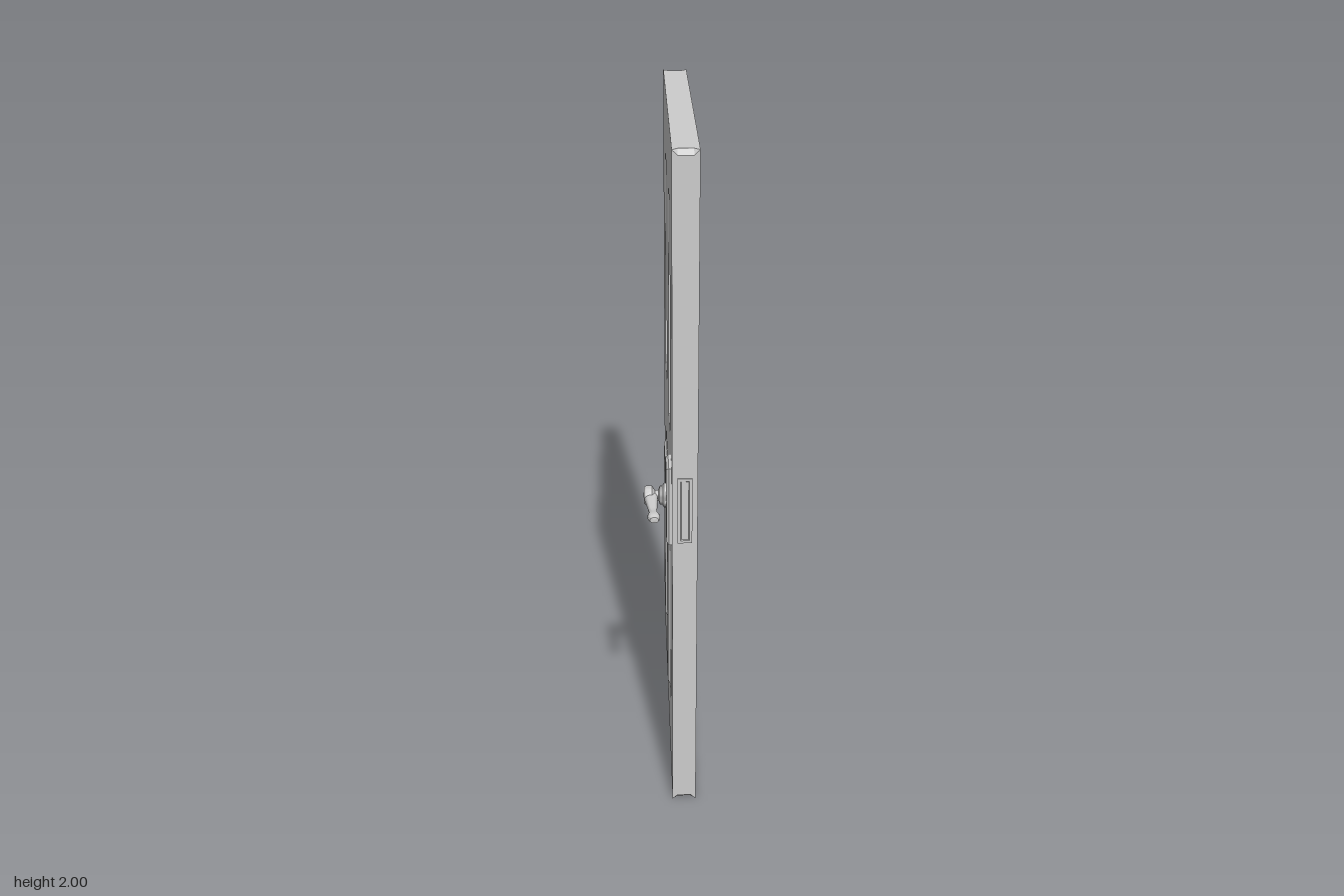
import * as THREE from 'three';
import { toCreasedNormals } from 'three/addons/utils/BufferGeometryUtils.js';

const HEIGHT = 2, HALF_LENGTH = 0.4825, HALF_THICK = 0.035;

const grey = new THREE.MeshStandardMaterial({ color: 0xcccccc, side: THREE.DoubleSide });
grey.name = 'plain grey';

function addMesh(parent, name, geometry) {
  const mesh = new THREE.Mesh(geometry, grey);
  mesh.name = name;
  parent.add(mesh);
  return mesh;
}

// Joins equal-sized closed rings with flat quads; optionally caps the last ring.
function loft(rings, cap = false) {
  const pos = [];
  const tri = (...pts) => pts.forEach((p) => pos.push(...p));
  for (let r = 0; r + 1 < rings.length; r++) {
    const a = rings[r], b = rings[r + 1];
    a.forEach((_, i) => {
      const j = (i + 1) % a.length;
      tri(a[i], a[j], b[j]);
      tri(a[i], b[j], b[i]);
    });
  }
  if (cap) {
    const e = rings[rings.length - 1];
    for (let i = 1; i + 1 < e.length; i++) tri(e[0], e[i], e[i + 1]);
  }
  const g = new THREE.BufferGeometry();
  g.setAttribute('position', new THREE.Float32BufferAttribute(pos, 3));
  g.computeVertexNormals();
  return g;
}

// Rectangle facing +x, shrunk by an inset.
function rect(box, inset, x) {
  const y0 = box.y0 + inset, y1 = box.y1 - inset;
  const z0 = box.z0 + inset, z1 = box.z1 - inset;
  return [[x, y0, z1], [x, y0, z0], [x, y1, z0], [x, y1, z1]];
}

// Lofts a rectangle through a list of [inset, x] steps.
const steppedRect = (box, steps, cap) => loft(steps.map(([i, x]) => rect(box, i, x)), cap);

// Door outline with corners cut by c.
function outline(x, c) {
  const L = HALF_LENGTH, H = HEIGHT;
  return [
    [x, c, L], [x, 0, L - c], [x, 0, -L + c], [x, c, -L],
    [x, H - c, -L], [x, H, -L + c], [x, H, L - c], [x, H - c, L],
  ];
}

const windows = [-1, 1].map((s) => ({
  y0: 1.125, y1: 1.805, z0: s * 0.193 - 0.081, z1: s * 0.193 + 0.081,
}));
const panels = [-1, 1].map((s) => ({
  y0: 0.226, y1: 0.895, z0: s * 0.192 - 0.097, z1: s * 0.192 + 0.097,
}));

// One side of the door, facing +x: flat face, window reveals, raised panels.
function createSide() {
  const side = new THREE.Group();
  const shape = new THREE.Shape(rect({ y0: 0, y1: HEIGHT, z0: -HALF_LENGTH, z1: HALF_LENGTH }, 0, 0)
    .map(([, y, z]) => new THREE.Vector2(-z, y)));
  for (const box of [...windows, ...panels]) {
    shape.holes.push(new THREE.Path(rect(box, 0, 0).reverse()
      .map(([, y, z]) => new THREE.Vector2(-z, y))));
  }
  const face = new THREE.ShapeGeometry(shape);
  face.rotateY(Math.PI / 2).translate(HALF_THICK, 0, 0);
  addMesh(side, 'doorFace', face);
  for (const box of windows) {
    addMesh(side, 'windowReveal', steppedRect(box,
      [[0, HALF_THICK], [0.001, 0.014], [0.007, 0.014], [0.007, 0]]));
  }
  for (const box of panels) {
    addMesh(side, 'raisedPanel', steppedRect(box,
      [[0, HALF_THICK], [0.02, 0.018], [0.027, 0.018], [0.033, 0.035], [0.043, 0.042]], true));
  }
  return side;
}

// Back plate, stepped rose with knob, and lever; x points away from the door.
function createHandle() {
  const handle = new THREE.Group();
  handle.name = 'handle';
  addMesh(handle, 'backPlate', steppedRect({ y0: -0.12, y1: 0.12, z0: -0.044, z1: 0.044 },
    [[0, 0], [0, 0.008], [0.007, 0.015]], true));

  const turned = (points) => toCreasedNormals(new THREE.LatheGeometry(
    points.map(([r, h]) => new THREE.Vector2(r, h)), 24), 0.6);

  const knob = turned([
    [0.034, 0.014], [0.034, 0.021], [0.026, 0.026], [0.026, 0.032], [0.015, 0.036],
    [0.014, 0.046], [0.022, 0.05], [0.027, 0.054], [0.027, 0.07], [0.023, 0.076], [0, 0.077],
  ]).rotateZ(-Math.PI / 2);
  addMesh(handle, 'knob', knob).position.y = 0.015;

  const lever = turned([
    [0, 0], [0.02, 0.002], [0.018, 0.03], [0.012, 0.085], [0.011, 0.1],
    [0.016, 0.114], [0.017, 0.13], [0.012, 0.141], [0, 0.144],
  ]).rotateX(-Math.PI / 2).scale(1, 0.75, 1);
  const leverMesh = addMesh(handle, 'lever', lever);
  leverMesh.position.set(0.058, 0.015, 0);
  leverMesh.rotation.y = 0.06;
  return handle;
}

export function createModel() {
  const model = new THREE.Group();
  model.name = 'door';

  // Outer edge with scooped corners
  addMesh(model, 'doorEdge', loft([
    outline(-HALF_THICK, 0), outline(-0.02, 0.014), outline(0.02, 0.014), outline(HALF_THICK, 0),
  ]));

  // Two identical sides
  for (const angle of [0, Math.PI]) {
    const side = createSide();
    side.name = angle ? 'rightSide' : 'leftSide';
    side.rotation.y = angle;
    model.add(side);
  }

  // Handle on the right side
  const handle = createHandle();
  handle.position.set(-HALF_THICK, 0.995, 0.4);
  handle.rotation.y = Math.PI;
  model.add(handle);

  // Latch plate on the free edge
  const latch = addMesh(model, 'latchPlate', steppedRect({ y0: -0.1, y1: 0.1, z0: -0.02, z1: 0.02 },
    [[0, 0], [0, 0.004], [0.008, 0.004], [0.01, 0.001]], true));
  latch.position.set(0, 1.005, HALF_LENGTH);
  latch.rotation.y = -Math.PI / 2;

  // The door stands ajar
  model.rotation.y = THREE.MathUtils.degToRad(15.1);
  model.position.z = -0.036;
  const root = new THREE.Group();
  root.add(model);
  return root;
}
